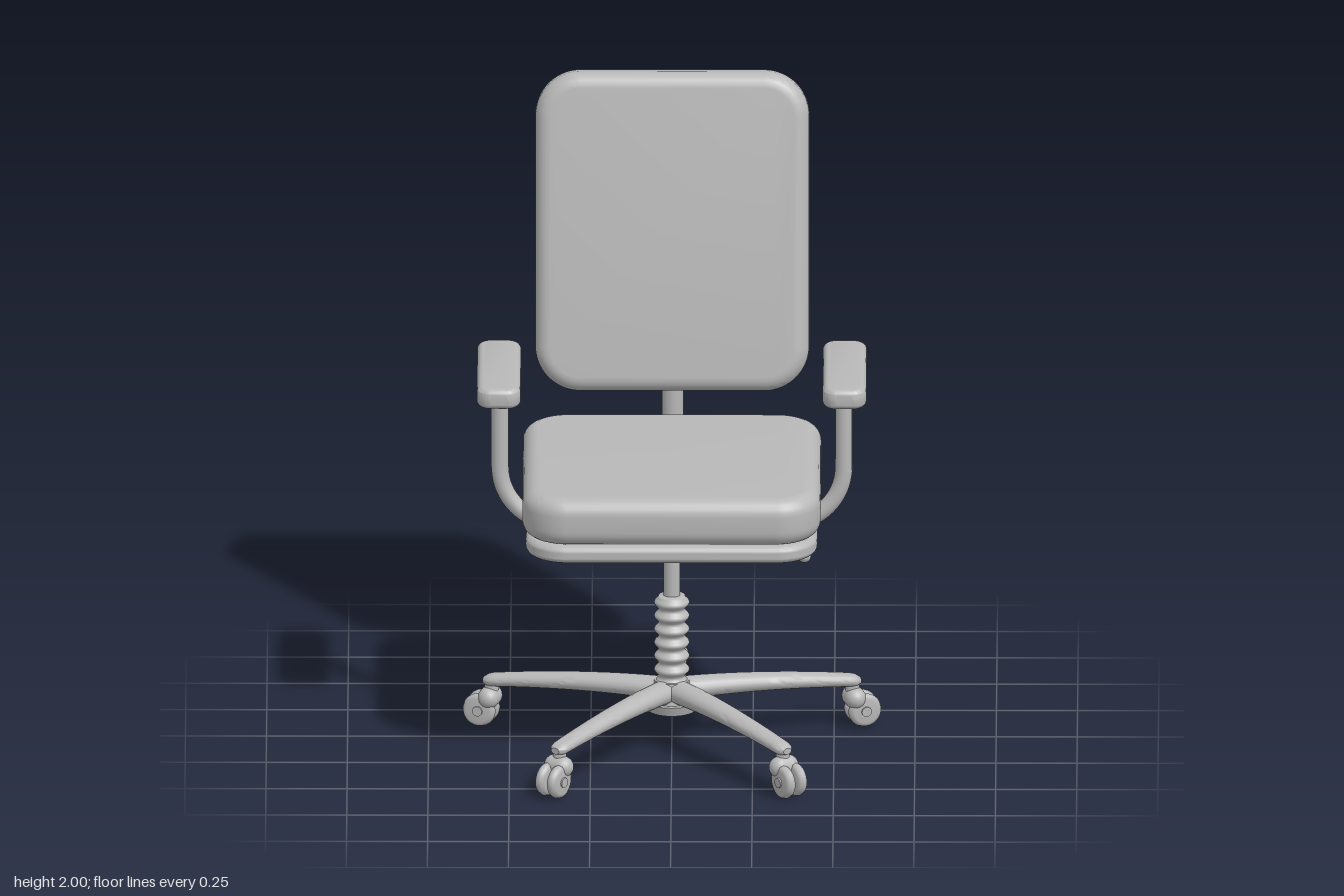
import * as THREE from 'three';
import { toCreasedNormals } from 'three/addons/utils/BufferGeometryUtils.js';

const V = (x, y, z) => new THREE.Vector3(x, y, z);

export function createModel() {
  const chair = new THREE.Group();
  chair.name = 'officeChair';
  const grey = new THREE.MeshStandardMaterial({ color: 0xb8b8b8 });
  grey.name = 'plain grey';
  const CZ = 0.07; // z of the central column

  const add = (name, geo, x = 0, y = 0, z = 0, parent = chair) => {
    const m = new THREE.Mesh(geo, grey);
    m.name = name;
    m.position.set(x, y, z);
    parent.add(m);
    return m;
  };

  // Rounded slab in the xy plane, centred, with thickness along z and a soft edge
  const slab = (w, h, d, corner, edge) => {
    const a = w / 2 - edge, b = h / 2 - edge, r = Math.max(corner - edge, 0.005);
    const s = new THREE.Shape();
    s.moveTo(-a + r, -b);
    s.lineTo(a - r, -b);
    s.absarc(a - r, -b + r, r, -Math.PI / 2, 0);
    s.absarc(a - r, b - r, r, 0, Math.PI / 2);
    s.absarc(-a + r, b - r, r, Math.PI / 2, Math.PI);
    s.absarc(-a + r, -b + r, r, Math.PI, Math.PI * 1.5);
    const g = new THREE.ExtrudeGeometry(s, {
      depth: d - 2 * edge, bevelThickness: edge, bevelSize: edge, bevelSegments: 6, curveSegments: 10,
    });
    g.translate(0, 0, -d / 2 + edge);
    return toCreasedNormals(g, 0.7);
  };
  const flatSlab = (w, l, t, corner, edge) => slab(w, l, t, corner, edge).rotateX(-Math.PI / 2);

  // Tube with two straight ends joined by a round bend at the corner point
  const bentTube = (start, corner, end, bend, radius) => {
    const p = corner.clone().add(start.clone().sub(corner).setLength(bend));
    const q = corner.clone().add(end.clone().sub(corner).setLength(bend));
    const path = new THREE.CurvePath();
    path.add(new THREE.LineCurve3(start, p));
    path.add(new THREE.CubicBezierCurve3(p, p.clone().lerp(corner, 0.55), q.clone().lerp(corner, 0.55), q));
    path.add(new THREE.LineCurve3(q, end));
    return new THREE.TubeGeometry(path, 48, radius, 16);
  };

  // Seat
  add('seatCushion', flatSlab(0.92, 0.88, 0.15, 0.14, 0.05), 0, 0.865, 0.08);
  add('seatPan', flatSlab(0.9, 0.86, 0.056, 0.13, 0.025), 0, 0.758, 0.07);
  add('mechanism', new THREE.BoxGeometry(0.36, 0.07, 0.36), 0, 0.7, 0.05);

  // Backrest, leaning backwards
  const backrest = new THREE.Group();
  backrest.name = 'backrest';
  backrest.position.set(0, 1.505, -0.425);
  backrest.rotation.x = -0.187;
  chair.add(backrest);
  add('backCushion', slab(0.845, 0.995, 0.125, 0.14, 0.045), 0, 0, 0, backrest);
  add('backPlate', slab(0.8, 0.945, 0.044, 0.13, 0.02), 0, 0.015, -0.082, backrest);
  add('backSupport', bentTube(V(0, 0.7, -0.08), V(0, 0.7, -0.462), V(0, 1.25, -0.452), 0.2, 0.034));

  // Armrests
  for (const s of [-1, 1]) {
    add('armPad', flatSlab(0.135, 0.5, 0.064, 0.045, 0.02), s * 0.533, 1.197, 0.05);
    add('armPost', bentTube(V(s * 0.53, 1.19, 0), V(s * 0.53, 0.7, 0.012), V(s * 0.15, 0.7, 0.012), 0.18, 0.027));
  }

  // Adjusting lever on one side
  const rod = new THREE.CatmullRomCurve3([V(0.16, 0.7, 0.12), V(0.26, 0.695, 0.16), V(0.41, 0.682, 0.27)]);
  add('leverRod', new THREE.TubeGeometry(rod, 12, 0.009, 10));
  add('leverKnob', new THREE.SphereGeometry(0.02, 16, 12), 0.41, 0.681, 0.27);

  // Column with ribbed sleeve
  add('gasColumn', new THREE.CylinderGeometry(0.026, 0.026, 0.25, 24), 0, 0.58, CZ);
  const ribs = [new THREE.Vector2(0, 0.18)];
  for (let i = 0; i <= 56; i++) {
    ribs.push(new THREE.Vector2(0.048 - 0.007 * Math.cos(i / 8 * Math.PI * 2), 0.18 + i / 56 * 0.305));
  }
  ribs.push(new THREE.Vector2(0, 0.49));
  add('ribbedSleeve', new THREE.LatheGeometry(ribs, 28), 0, 0, CZ);

  // Star base
  add('hub', new THREE.CylinderGeometry(0.055, 0.072, 0.095, 32), 0, 0.165, CZ);
  add('hubFoot', new THREE.CylinderGeometry(0.085, 0.075, 0.03, 32), 0, 0.13, CZ);

  // Tapered arching leg along +z, made by reshaping a cylinder
  const legGeo = new THREE.CylinderGeometry(1, 1, 1, 20, 40);
  const p = legGeo.attributes.position;
  for (let i = 0; i < p.count; i++) {
    const t = p.getY(i) + 0.5;
    const hh = 0.036 - 0.016 * t, hw = 0.046 - 0.016 * t;
    const tip = t > 0.95 ? Math.sqrt(1 - 0.75 * ((t - 0.95) / 0.05) ** 2) : 1;
    const cy = 0.215 - 0.05 * t ** 1.8 - hh;
    p.setXYZ(i, p.getX(i) * hw * tip, cy - p.getZ(i) * hh * tip, 0.02 + 0.59 * t);
  }
  const leg = toCreasedNormals(legGeo, 0.8);

  // Wheel with rounded rim, axis along x
  const rim = [[0, -0.017], [0.038, -0.017], [0.049, -0.011], [0.053, 0], [0.049, 0.011], [0.038, 0.017], [0, 0.017]];
  const wheel = new THREE.LatheGeometry(rim.map(([r, y]) => new THREE.Vector2(r, y)), 28).rotateZ(Math.PI / 2);

  for (let i = 0; i < 5; i++) {
    const spoke = new THREE.Group();
    spoke.name = 'baseSpoke';
    spoke.position.z = CZ;
    spoke.rotation.y = Math.PI + i * Math.PI * 0.4;
    chair.add(spoke);
    add('leg', leg, 0, 0, 0, spoke);
    add('casterStem', new THREE.CylinderGeometry(0.02, 0.024, 0.07, 16), 0, 0.115, 0.585, spoke);
    add('casterHood', new THREE.CapsuleGeometry(0.034, 0.03, 6, 16).rotateZ(Math.PI / 2), 0, 0.092, 0.59, spoke);
    add('casterAxle', new THREE.CylinderGeometry(0.016, 0.016, 0.088, 12).rotateZ(Math.PI / 2), 0, 0.053, 0.618, spoke);
    for (const s of [-1, 1]) add('casterWheel', wheel, s * 0.022, 0.053, 0.618, spoke);
  }
  return chair;
}
